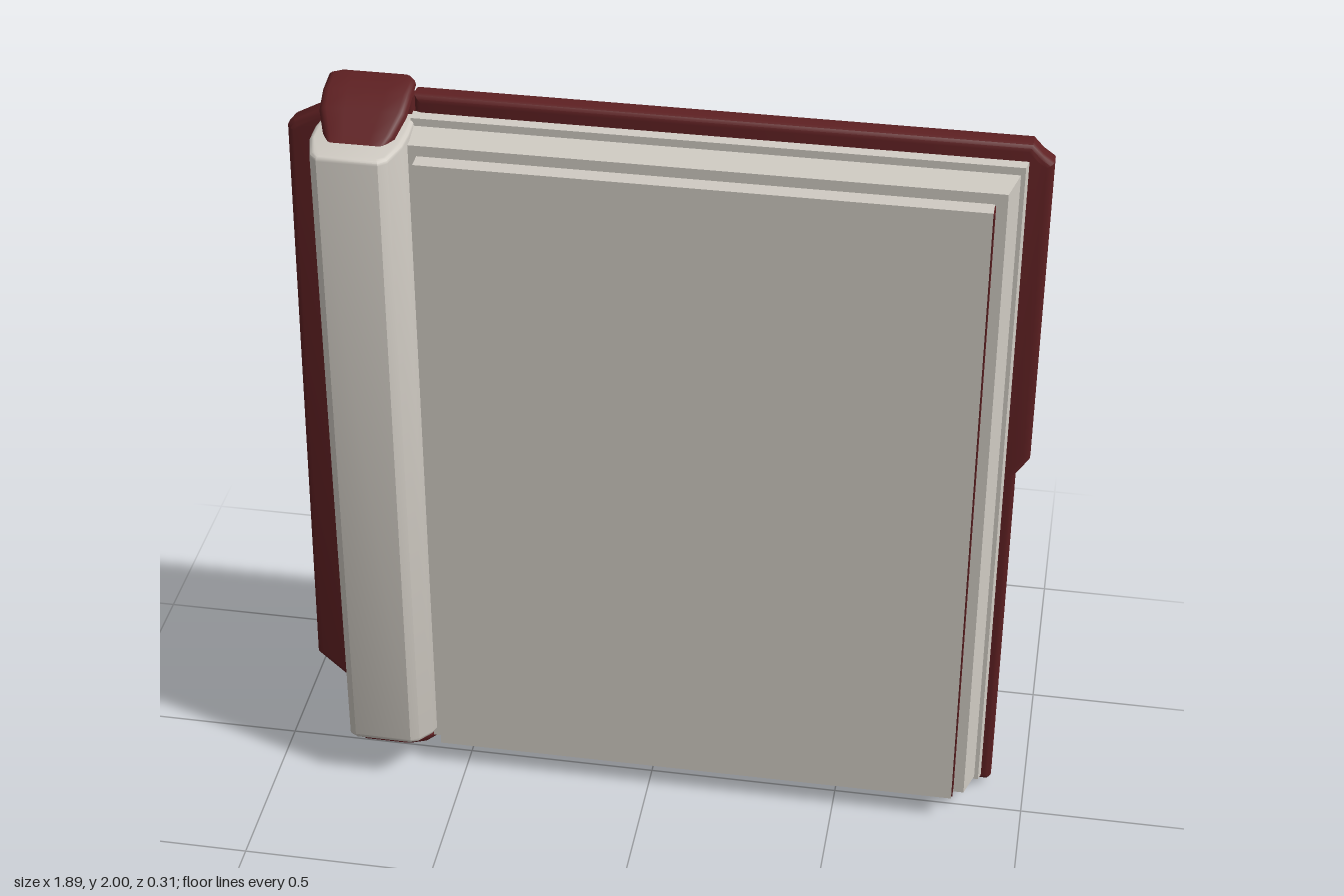
import * as THREE from 'three';
import { toCreasedNormals } from 'three/addons/utils/BufferGeometryUtils.js';

const maroon = new THREE.MeshStandardMaterial({ color: 0x5e2022 });
maroon.name = 'maroon';
const paleGrey = new THREE.MeshStandardMaterial({ color: 0xd0cbc3 });
paleGrey.name = 'pale grey';

// Bevelled extrusion that keeps the given outline and total depth
function bevelled(points, depth, bevel, steps = 1) {
  const shape = new THREE.Shape(points.map(([x, y]) => new THREE.Vector2(x, y)));
  return new THREE.ExtrudeGeometry(shape, {
    depth: depth - 2 * bevel, steps, bevelEnabled: true, bevelSize: bevel,
    bevelThickness: bevel, bevelOffset: -bevel, bevelSegments: 3,
  }).translate(0, 0, bevel);
}

// Moves every vertex by a rule
function reshape(geometry, rule) {
  const p = geometry.attributes.position;
  const v = new THREE.Vector3();
  for (let i = 0; i < p.count; i++) {
    rule(v.fromBufferAttribute(p, i));
    p.setXYZ(i, v.x, v.y, v.z);
  }
  geometry.computeVertexNormals();
  return geometry;
}

// Box running from a back rectangle to a front rectangle [x0, x1, y0, y1]
function taperedSlab(back, front, z0, z1) {
  return reshape(new THREE.BoxGeometry(1, 1, 1), (v) => {
    const r = v.z > 0 ? front : back;
    v.set(v.x > 0 ? r[1] : r[0], v.y > 0 ? r[3] : r[2], v.z > 0 ? z1 : z0);
  });
}

export function createModel() {
  const group = new THREE.Group();
  const add = (name, geometry, material) => {
    const mesh = new THREE.Mesh(geometry, material);
    mesh.name = name;
    group.add(mesh);
  };

  // Back cover with a tab on the upper outer edge
  const cover = bevelled([
    [-0.598, 0.02], [0.9, 0.02], [0.91, 0.03], [0.91, 1.02], [0.943, 1.07],
    [0.943, 1.915], [0.915, 1.935], [0.89, 1.962], [-0.598, 1.962],
  ], 0.062, 0.018).translate(0, 0, -0.148);
  add('backCover', toCreasedNormals(cover, 0.6), maroon);

  // Side flap behind the spine, tapering toward the top
  const flap = bevelled([
    [-0.602, 0.03], [-0.76, 0.03], [-0.83, 0.1], [-0.948, 0.21],
    [-0.922, 1.845], [-0.905, 1.865], [-0.82, 1.91], [-0.77, 1.95], [-0.602, 1.95],
  ], 0.057, 0.018).translate(0, 0, -0.15);
  add('sideFlap', toCreasedNormals(flap, 0.6), maroon);

  // Stepped layers in front of the cover
  add('rearLayer', taperedSlab([-0.6, 0.885, 0.038, 1.92], [-0.6, 0.878, 0.042, 1.915], -0.09, -0.062), paleGrey);
  add('middleLayer', taperedSlab([-0.6, 0.868, 0.05, 1.895], [-0.6, 0.845, 0.058, 1.885], -0.064, 0.018), paleGrey);
  add('frontPanel', taperedSlab([-0.57, 0.815, 0.07, 1.857], [-0.57, 0.815, 0.07, 1.857], 0.01, 0.062), paleGrey);
  const strip = new THREE.BoxGeometry(0.004, 1.775, 0.044);
  strip.translate(0.816, 0.965, 0.0395);
  add('panelEdgeStrip', strip, maroon);

  // Spine column with chamfered front and a slanted lower end
  const column = bevelled([
    [-0.81, 0.1], [-0.822, 0.0], [-0.82, -0.06], [-0.8, -0.135], [-0.78, -0.155],
    [-0.63, -0.155], [-0.61, -0.135], [-0.592, -0.06], [-0.59, 0.0], [-0.595, 0.1],
  ], 1.86, 0.012).rotateX(-Math.PI / 2).translate(0, 0.05, 0);
  reshape(column, (v) => {
    if (v.y < 0.5) v.y += 0.016 + 0.45 * v.z;
  });
  add('spineColumn', toCreasedNormals(column, 0.6), paleGrey);

  // Rounded end caps, narrowing toward the front
  const cap = (profile) => {
    const g = bevelled(profile, 0.22, 0.018, 4).rotateY(-Math.PI / 2).translate(0.11, 0, 0);
    reshape(g, (v) => {
      v.x *= 1 - 0.4 * THREE.MathUtils.smoothstep(v.z, -0.03, 0.11);
      v.x *= 1 - 0.18 * THREE.MathUtils.smoothstep(-v.z, 0.1, 0.155);
    });
    return toCreasedNormals(g.translate(-0.703, 0, 0), 0.7);
  };
  add('topCap', cap([
    [0.09, 1.87], [0.09, 1.905], [0.05, 1.925], [0.0, 1.96], [-0.05, 1.986],
    [-0.11, 2], [-0.14, 1.99], [-0.155, 1.96], [-0.155, 1.87],
  ]), maroon);
  add('bottomCap', cap([
    [0.135, 0.15], [0.13, 0.115], [0.08, 0.075], [0.03, 0.042], [-0.03, 0.017],
    [-0.1, 0], [-0.135, 0.01], [-0.155, 0.04], [-0.155, 0.13],
  ]), maroon);

  return group;
}
